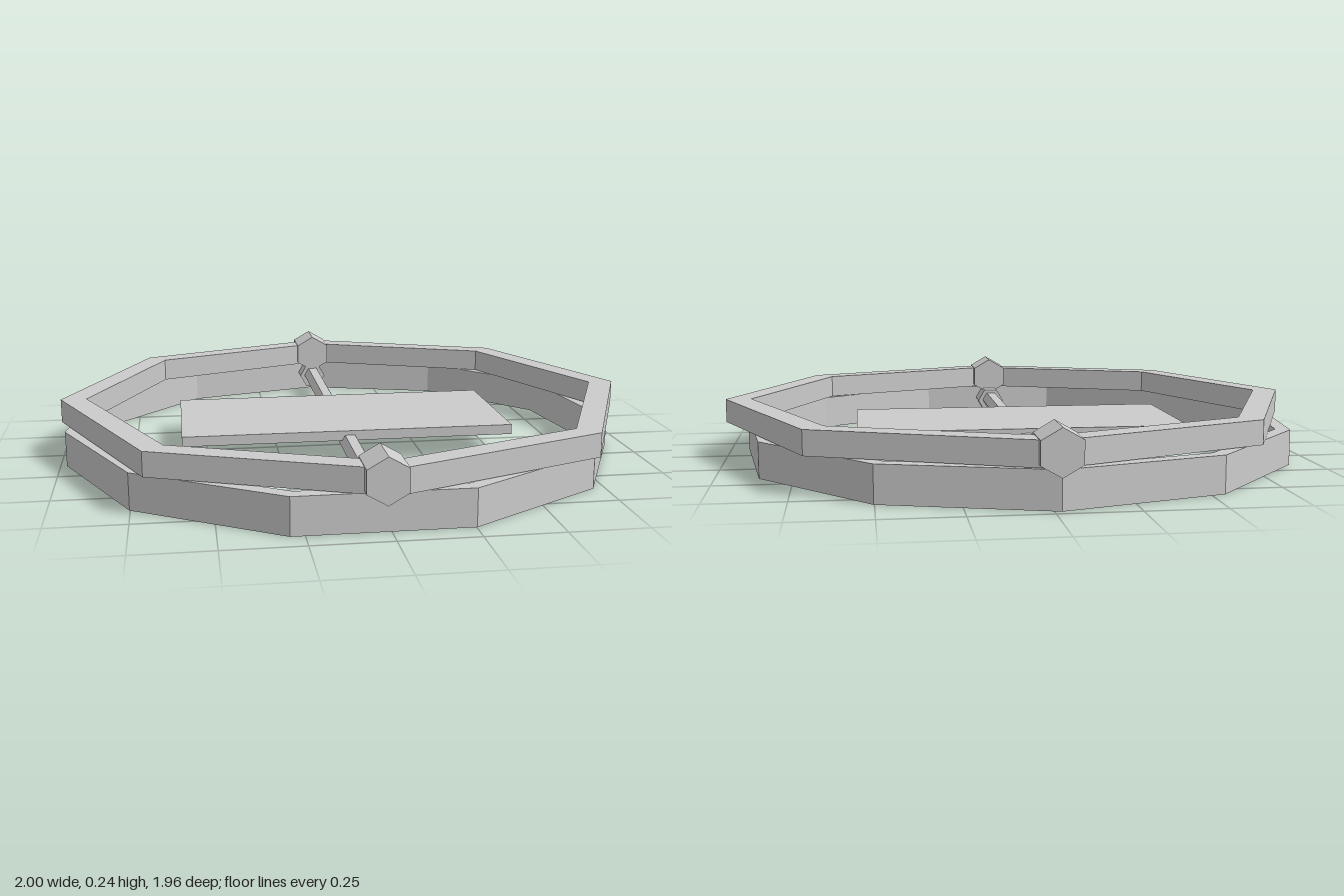
import * as THREE from 'three';

const material = new THREE.MeshStandardMaterial({ color: 0xcccccc, flatShading: true });

// Corners of a regular polygon in plan, with one corner pointing to the back
function polygon(sides, radius, depthScale) {
  return Array.from({ length: sides }, (_, i) => {
    const a = (i / sides) * Math.PI * 2;
    return new THREE.Vector2(Math.sin(a) * radius, Math.cos(a) * radius * depthScale);
  });
}

// Flat polygonal hoop lying in the ground plane
function hoop(sides, outer, inner, height, depthScale = 1) {
  const shape = new THREE.Shape(polygon(sides, outer, depthScale));
  shape.holes.push(new THREE.Path(polygon(sides, inner, depthScale).reverse()));
  const geometry = new THREE.ExtrudeGeometry(shape, { depth: height, bevelEnabled: false });
  return geometry.rotateX(-Math.PI / 2);
}

// Hexagonal bar running along z between two depths
function hexBar(radius, zBack, zFront, flatTop) {
  const geometry = new THREE.CylinderGeometry(radius, radius, zFront - zBack, 6);
  geometry.rotateX(Math.PI / 2);
  if (flatTop) geometry.rotateZ(Math.PI / 6);
  return geometry.translate(0, 0, (zBack + zFront) / 2);
}

export function createModel() {
  const model = new THREE.Group();
  const add = (name, geometry, x, y, z) => {
    const mesh = new THREE.Mesh(geometry, material);
    mesh.name = name;
    mesh.position.set(x, y, z);
    model.add(mesh);
  };
  const axisX = -0.021;

  // Two stacked hoops
  add('lowerRing', hoop(11, 0.968, 0.918, 0.12), axisX, 0, -0.007);
  add('upperRing', hoop(8, 1, 0.912, 0.08, 0.97), 0, 0.122, 0);

  // Hexagonal clamps at the front and back of the upper ring
  add('frontClamp', hexBar(0.0725, 0.83, 0.975, false), axisX, 0.168, 0);
  add('backClamp', hexBar(0.0725, -0.98, -0.833, false), axisX, 0.168, 0);

  // Axle with an end collar against each side of the lower ring
  add('axle', hexBar(0.034, -0.88, 0.85, true), axisX, 0.075, 0);
  add('frontCollar', hexBar(0.052, 0.77, 0.885, true), axisX, 0.072, 0);
  add('backCollar', hexBar(0.052, -0.94, -0.835, true), axisX, 0.072, 0);

  // Rectangular plate resting on the axle
  add('plate', new THREE.BoxGeometry(1.135, 0.034, 0.525), axisX, 0.103, -0.009);

  return model;
}
